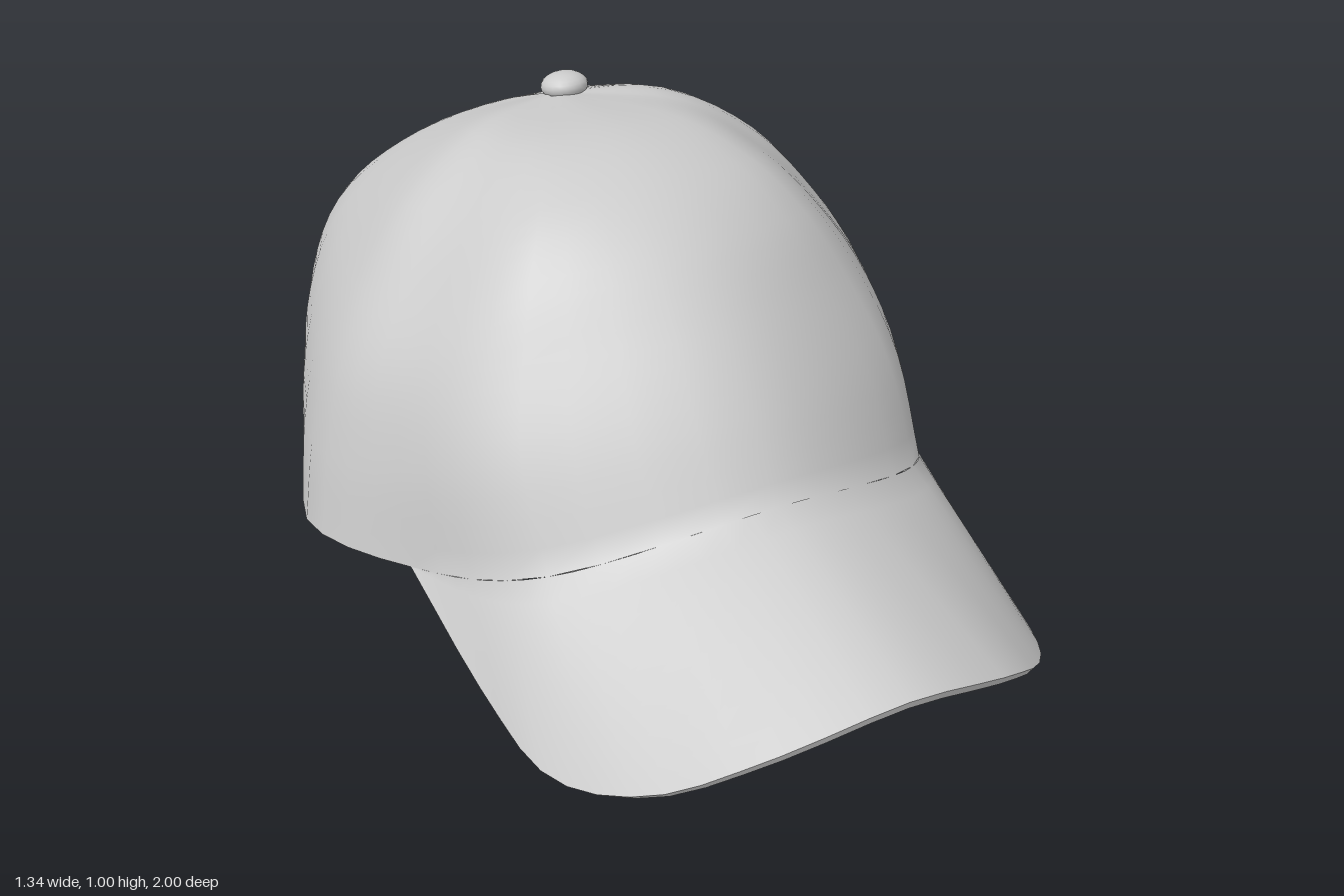
import * as THREE from 'three';
import { RoundedBoxGeometry } from 'three/addons/geometries/RoundedBoxGeometry.js';

const V = (p) => new THREE.Vector3(...p);
const mirror = ([x, y, z]) => [-x, y, z];
const { lerp, clamp } = THREE.MathUtils;

// Crown ribs on the +x half, front to back, each running from the apex to the hem
const APEX = [0, 0.967, -0.41];
const RIBS = [
  [[0, 0.998, -0.14], [0, 0.97, 0.04], [0, 0.89, 0.19], [0, 0.77, 0.32], [0, 0.64, 0.43], [0, 0.49, 0.53]],
  [[0.14, 0.987, -0.16], [0.23, 0.94, 0.0], [0.30, 0.85, 0.10], [0.36, 0.72, 0.18], [0.41, 0.56, 0.27], [0.41, 0.37, 0.38]],
  [[0.20, 0.967, -0.25], [0.34, 0.885, -0.16], [0.445, 0.76, -0.09], [0.525, 0.62, -0.03], [0.56, 0.45, 0.03], [0.57, 0.255, 0.08]],
  [[0.21, 0.957, -0.36], [0.385, 0.86, -0.32], [0.51, 0.71, -0.29], [0.59, 0.56, -0.27], [0.64, 0.38, -0.26], [0.67, 0.20, -0.25]],
  [[0.15, 0.908, -0.52], [0.28, 0.82, -0.61], [0.39, 0.69, -0.69], [0.455, 0.53, -0.71], [0.475, 0.33, -0.72], [0.46, 0.07, -0.70]],
  [[0.08, 0.91, -0.54], [0.15, 0.83, -0.66], [0.21, 0.70, -0.79], [0.255, 0.55, -0.88], [0.28, 0.36, -0.91], [0.28, 0.035, -0.83]],
  [[0, 0.91, -0.54], [0, 0.83, -0.68], [0, 0.71, -0.83], [0, 0.58, -0.94], [0, 0.43, -1.0], [0, 0.02, -0.86]],
];
const allRibs = [...RIBS, ...RIBS.slice(1, 6).reverse().map((r) => r.map(mirror))];
const ribCurves = allRibs.map((r) => new THREE.CatmullRomCurve3([APEX, ...r].map(V), false, 'catmullrom'));

// Outer edge of the brim, from its -x corner round to its +x corner
const EDGE = [[0, 0.36, 1.0], [0.25, 0.29, 0.95], [0.425, 0.18, 0.825], [0.53, 0.115, 0.63], [0.555, 0.15, 0.39], [0.57, 0.255, 0.08]];
const edgeCurve = new THREE.CatmullRomCurve3([...EDGE.slice(1).reverse().map(mirror), ...EDGE].map(V), false, 'catmullrom');

// Point on the cap: u counts ribs around from the front; t runs from apex (0) to hem (1),
// and at the front on to the edge of the brim (2)
function capPoint(u, t) {
  const tCrown = clamp(t, 0, 1);
  const ring = new THREE.CatmullRomCurve3(ribCurves.map((c) => c.getPoint(tCrown)), true, 'catmullrom');
  const p = ring.getPoint(((u + 12) % 12) / 12);
  return t > 1 && Math.abs(u) <= 2 ? p.lerp(edgeCurve.getPoint((u + 2) / 4), Math.min(t - 1, 1)) : p;
}

// Thin shell with hard rims: each column is [u, tStart, tEnd]
function shell(columns, rows, thickness, inset = 0, uLimit = 99) {
  const e = 0.02;
  const samples = columns.map(([u, t0, t1]) => {
    const column = [];
    for (let j = 0; j <= rows; j++) {
      const t = lerp(t0, t1, j / rows);
      const un = clamp(u, -uLimit, uLimit);
      const mid = capPoint(un, t);
      const du = capPoint(un + e, t).sub(capPoint(un - e, t));
      const above = mid.clone().sub(capPoint(un, t - e)).normalize();
      const dv = capPoint(un, t + e).sub(mid).normalize().add(above).normalize();
      const n = dv.clone().cross(du).normalize();
      const outer = capPoint(u, t).addScaledVector(n, -inset);
      column.push({ outer, inner: outer.clone().addScaledVector(n, -thickness), n, dv });
    }
    return column;
  });
  const position = [], normal = [], index = [];
  const count = columns.length;
  const addGrid = (lines) => {
    const base = position.length / 3;
    for (const [j, side, dir, sign] of lines) {
      for (const column of samples) {
        position.push(...column[j][side].toArray());
        normal.push(...column[j][dir].clone().multiplyScalar(sign).toArray());
      }
    }
    for (let r = 0; r + 1 < lines.length; r++) {
      for (let i = 0; i + 1 < count; i++) {
        const a = base + r * count + i, c = a + count;
        index.push(a, c, a + 1, a + 1, c, c + 1);
      }
    }
  };
  const js = Array.from({ length: rows + 1 }, (_, j) => j);
  addGrid(js.map((j) => [j, 'outer', 'n', 1]));
  addGrid([[rows, 'outer', 'dv', 1], [rows, 'inner', 'dv', 1]]);
  addGrid(js.slice().reverse().map((j) => [j, 'inner', 'n', -1]));
  addGrid([[0, 'inner', 'dv', -1], [0, 'outer', 'dv', -1]]);
  const g = new THREE.BufferGeometry();
  g.setAttribute('position', new THREE.Float32BufferAttribute(position, 3));
  g.setAttribute('normal', new THREE.Float32BufferAttribute(normal, 3));
  g.setIndex(index);
  return g;
}

const range = (from, to, steps) => Array.from({ length: steps + 1 }, (_, i) => lerp(from, to, i / steps));

export function createModel() {
  const model = new THREE.Group();
  const material = new THREE.MeshStandardMaterial({ color: 0xcccccc, side: THREE.DoubleSide });
  const add = (name, geometry) => {
    const mesh = new THREE.Mesh(geometry, material);
    mesh.name = name;
    model.add(mesh);
    return mesh;
  };

  // Crown: columns between ribs 5 and 7 stop at the arched rear opening
  const arch = (u) => 0.833 + 0.095 * (1 - Math.sqrt(Math.max(0, 1 - (u - 6) ** 2)));
  const crownColumns = [
    ...range(-5, 5, 40).map((u) => [u, 0.015, 1]),
    ...range(0, Math.PI, 16).map((a) => 6 - Math.cos(a)).map((u) => [u, 0.015, arch(u)]),
    [7, 0.015, 1],
  ];
  add('crown', shell(crownColumns, 24, 0.018));

  // Brim, flowing out of the crown and curving down towards both sides
  add('brim', shell(range(-2, 2, 32).map((u) => [u, 1, 2]), 8, 0.018, 0, 1.95));

  // Strap closing the opening at the back, tucked inside the crown at both ends
  const strapColumns = range(4.9, 7.1, 20).map((u) => [u, 0.957 - 0.02 * (u - 6) ** 2, 1]);
  add('rearStrap', shell(strapColumns, 4, 0.012, 0.008));

  // Buckle on the strap
  const buckle = add('strapBuckle', new RoundedBoxGeometry(0.1, 0.15, 0.065, 3, 0.018));
  buckle.position.set(-0.17, 0.083, -0.893);
  buckle.rotation.set(-0.36, 0.2, 0, 'YXZ');

  // Button on top
  const button = add('topButton', new THREE.SphereGeometry(0.05, 20, 12));
  button.scale.y = 0.6;
  button.position.set(0.025, 0.974, -0.42);
  button.rotation.x = -0.2;

  return model;
}
